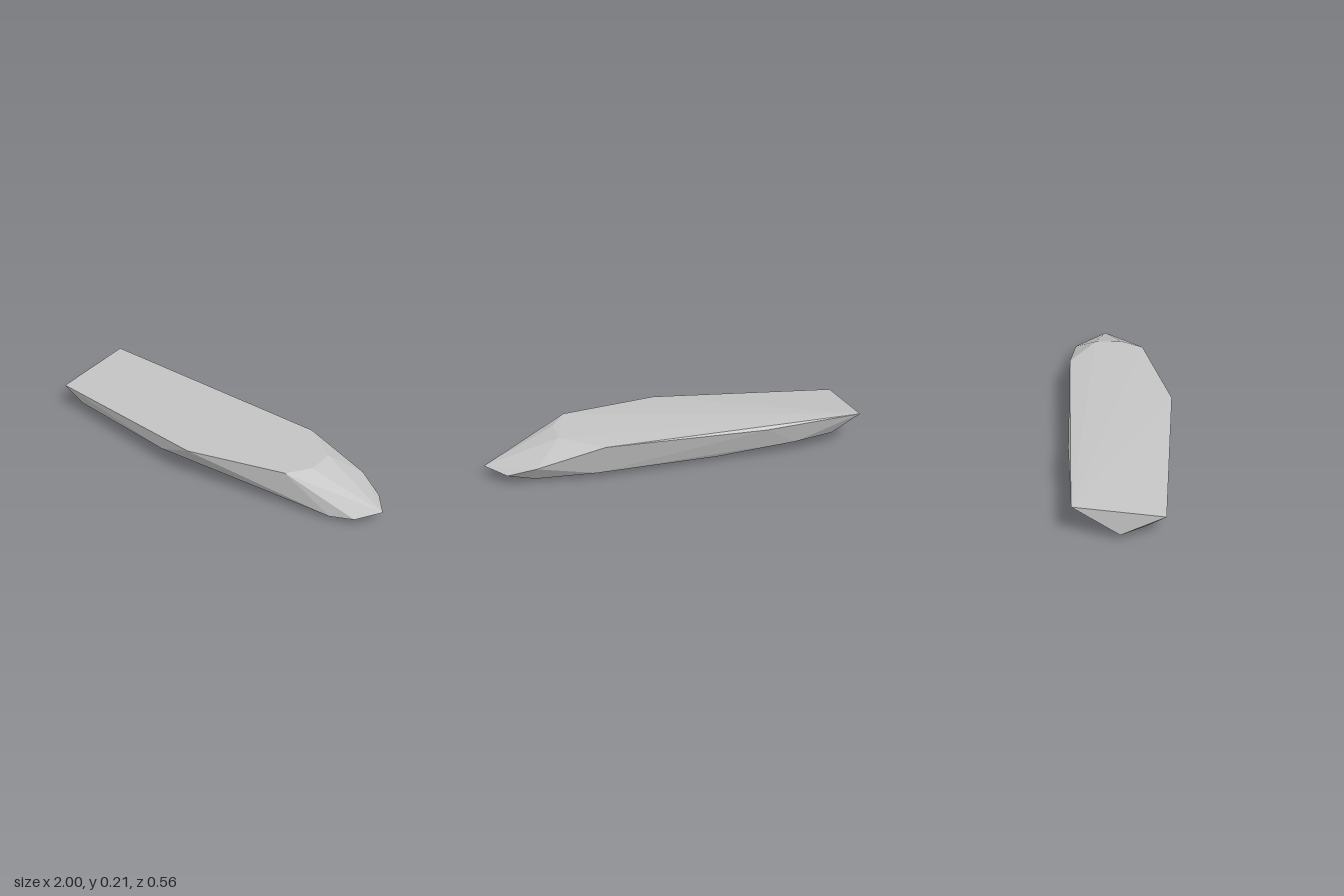
import * as THREE from 'three';
import { ConvexGeometry } from 'three/addons/geometries/ConvexGeometry.js';

// Flat-topped stone shard: a faceted convex hull around a few corner points.
export function createModel() {
  const group = new THREE.Group();
  group.name = 'stoneShard';
  const stone = new THREE.MeshStandardMaterial({ color: 0xc3c3c3 });
  stone.name = 'lightGreyStone';

  // rim of the slanted top
  const top = [
    [-1, 0.14, 0.168], [0.01, 0.182, 0.278], [0.54, 0.212, 0.155], [0.62, 0.212, 0.035],
    [0.62, 0.212, -0.11], [0.41, 0.202, -0.26], [-0.45, 0.182, -0.278], [-0.98, 0.197, -0.27],
  ];
  // pointed nose
  const nose = [
    [1, 0.073, -0.04], [0.9, 0.064, -0.163], [0.76, 0.112, -0.222],
    [0.9, 0.038, 0.057], [0.78, 0.027, 0.1], [0.76, 0.022, -0.157],
  ];
  // tapering underside and flanks
  const underside = [
    [-0.99, 0.037, -0.045], [-0.93, 0.04, 0.08], [-0.88, 0.067, 0.16], [-0.68, 0.032, 0.14],
    [-0.2, 0.092, 0.248], [-0.05, 0.015, 0.08], [0, 0.031, 0.143], [-0.25, 0.006, -0.05],
    [0.75, 0.003, -0.05], [0.45, 0.035, -0.212], [-0.2, 0.03, -0.212],
    [-0.63, 0.067, -0.238], [-0.85, 0.075, -0.21],
  ];

  const points = [...top, ...nose, ...underside].map((p) => new THREE.Vector3(...p));
  const geometry = new ConvexGeometry(points);
  geometry.translate(0, -0.003, 0);
  const shard = new THREE.Mesh(geometry, stone);
  shard.name = 'shard';
  group.add(shard);
  return group;
}
